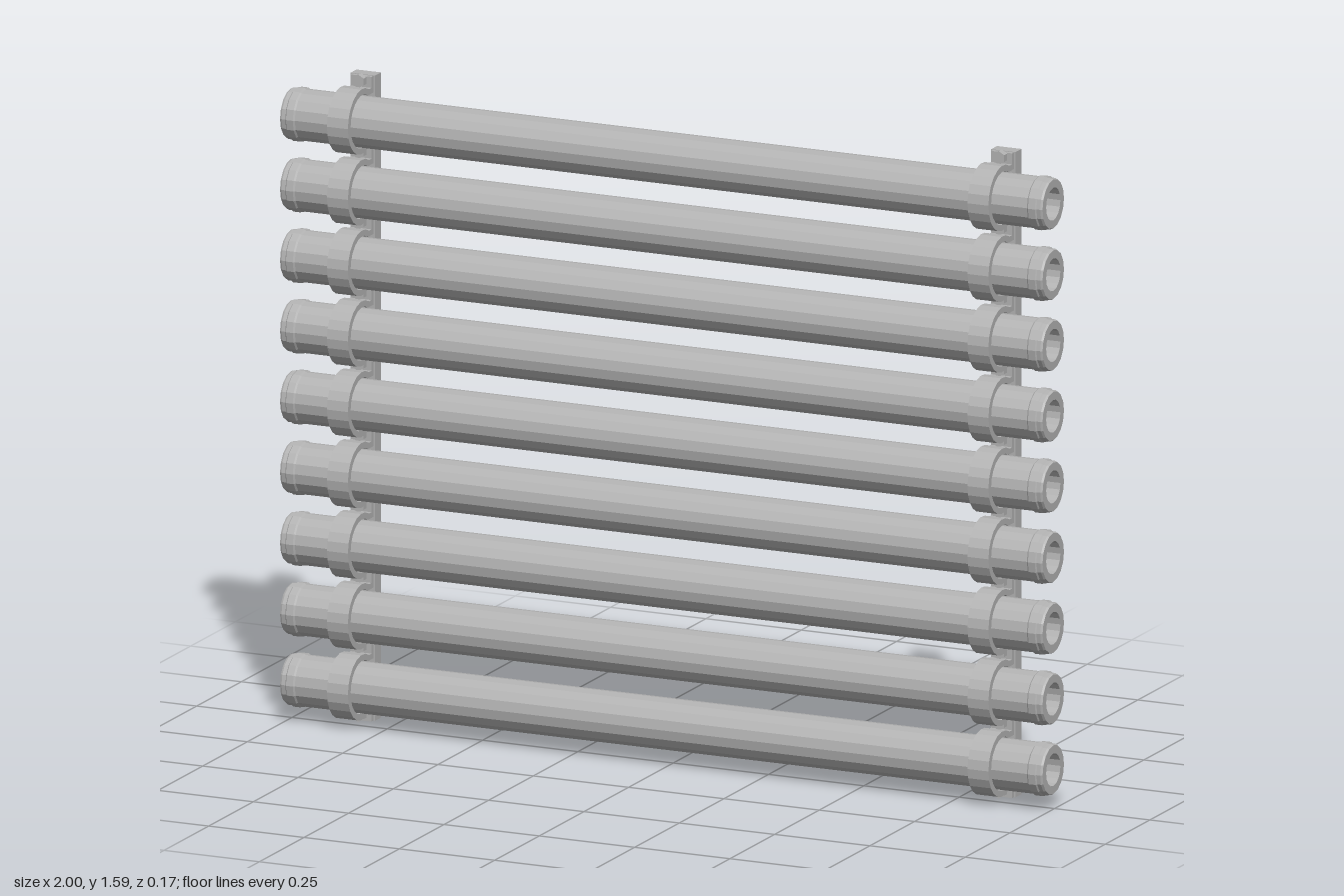
import * as THREE from 'three';

const PIPES = 9, FIRST_Y = 0.097, PITCH = 0.1737, PIPE_Z = 0.007;
const RAIL_X = 0.84, RAIL_FRONT = -0.055;

// Hollow pipe along x with a slim raised bead near each end
function pipeGeometry() {
  const r = 0.0625, bore = 0.04, bead = 0.0655;
  const profile = [
    [bore, -1], [0.06, -1], [r, -0.995], [r, -0.985], [bead, -0.982], [bead, -0.964], [r, -0.96],
    [r, 0.96], [bead, 0.964], [bead, 0.982], [r, 0.985], [r, 0.995], [0.06, 1], [bore, 1], [bore, -1],
  ].map(([x, y]) => new THREE.Vector2(x, y));
  return new THREE.LatheGeometry(profile, 16).rotateZ(Math.PI / 2);
}

// Omega-shaped strap: an arc round the pipe, two legs back to the rail and two flanges
function strapGeometry() {
  const outer = 0.08, inner = 0.065, width = 0.055;
  const back = RAIL_FRONT - PIPE_Z, legOut = 0.07, legIn = 0.056, tip = 0.097, flange = 0.01;
  const a = Math.PI - Math.asin(legOut / outer);
  const b = Math.PI - Math.asin(legIn / inner);
  const steps = 14;
  const pts = [[back, -legIn], [back, -tip], [back + flange, -tip], [back + flange, -legOut]];
  for (let i = 0; i <= steps; i++) {
    const t = -a + (2 * a * i) / steps;
    pts.push([outer * Math.cos(t), outer * Math.sin(t)]);
  }
  pts.push([back + flange, legOut], [back + flange, tip], [back, tip], [back, legIn]);
  for (let i = 0; i <= steps; i++) {
    const t = b - (2 * b * i) / steps;
    pts.push([inner * Math.cos(t), inner * Math.sin(t)]);
  }
  const shape = new THREE.Shape(pts.map(([x, y]) => new THREE.Vector2(x, y)));
  return new THREE.ExtrudeGeometry(shape, { depth: width, bevelEnabled: false })
    .translate(0, 0, -width / 2)
    .rotateY(-Math.PI / 2);
}

export function createModel() {
  const model = new THREE.Group();
  model.name = 'pipeRack';
  const steel = new THREE.MeshStandardMaterial({ color: 0xb2b2b2, flatShading: true });
  steel.name = 'grey steel';

  const add = (name, geometry, x, y, z) => {
    const mesh = new THREE.Mesh(geometry, steel);
    mesh.name = name;
    mesh.position.set(x, y, z);
    model.add(mesh);
  };

  const pipe = pipeGeometry();
  const strap = strapGeometry();
  const rail = new THREE.BoxGeometry(0.064, 1.585, 0.033);
  const bolt = new THREE.CylinderGeometry(0.017, 0.017, 0.018, 6).rotateX(Math.PI / 2);

  // Stack of pipes
  for (let i = 0; i < PIPES; i++) add('pipe', pipe, 0, FIRST_Y + i * PITCH, PIPE_Z);

  // Rails with a strap per pipe and a bolt above and below each strap
  for (const side of [-1, 1]) {
    const x = side * RAIL_X;
    add('rail', rail, x, 1.585 / 2, RAIL_FRONT - 0.0165);
    for (let i = 0; i < PIPES; i++) add('strap', strap, x, FIRST_Y + i * PITCH, PIPE_Z);
    for (let i = 0; i <= PIPES; i++) {
      const y = FIRST_Y + (i - 0.5) * PITCH;
      add('bolt', bolt, x, Math.max(y, 0.017), RAIL_FRONT + 0.018);
    }
  }
  return model;
}
